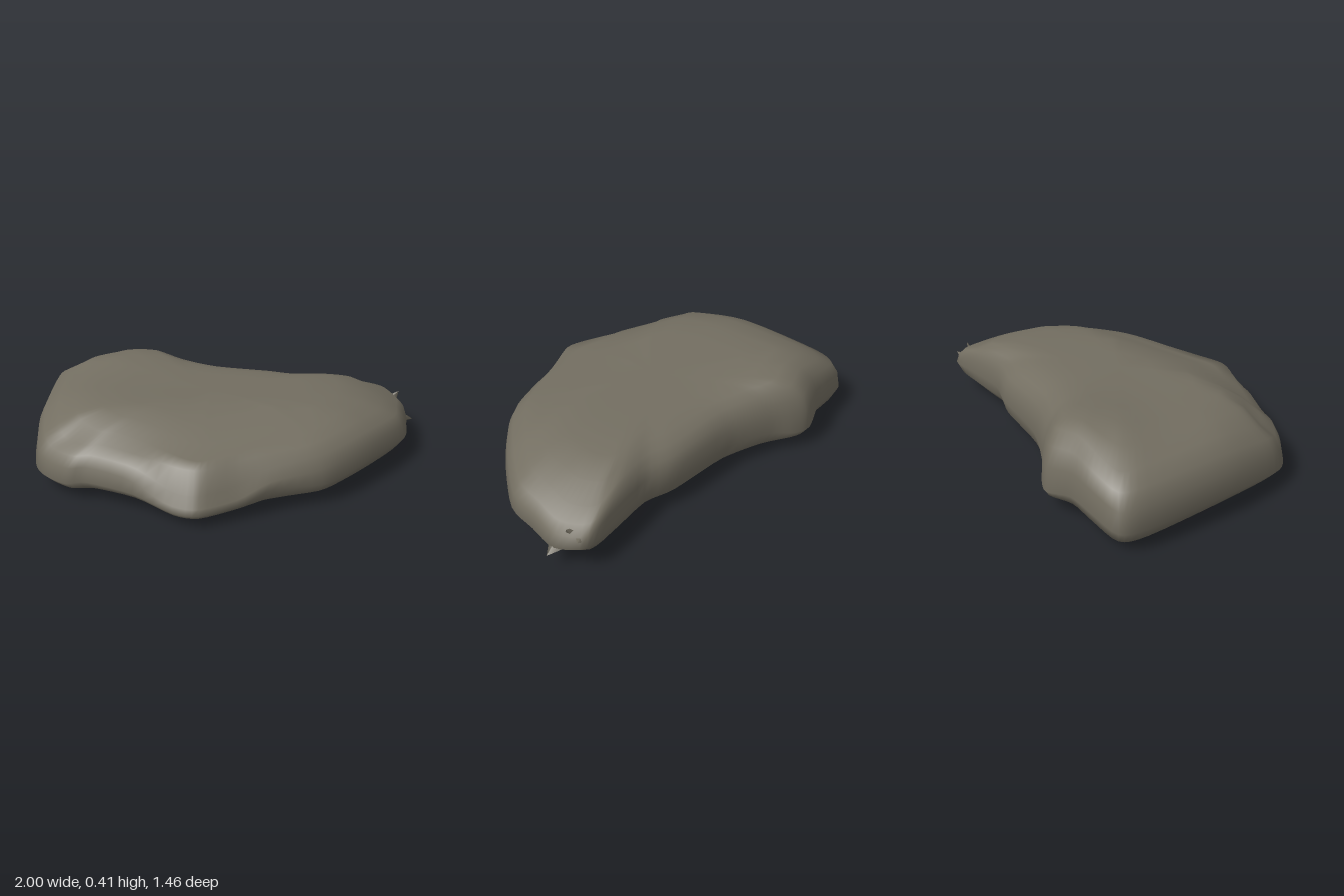
import * as THREE from 'three';
import { mergeVertices } from 'three/addons/utils/BufferGeometryUtils.js';

// Outline of the slab: x, z, height of widest point, top shoulder height, underside height
const OUTLINE = [
  [0.96, -0.22, 0.12, 0.26, 0.08], [0.90, -0.36, 0.15, 0.27, 0.08],
  [0.72, -0.37, 0.16, 0.31, 0.06], [0.48, -0.37, 0.16, 0.32, 0.05],
  [0.31, -0.43, 0.16, 0.32, 0.04], [-0.05, -0.50, 0.16, 0.34, 0.04],
  [-0.28, -0.61, 0.15, 0.35, 0.05], [-0.39, -0.69, 0.12, 0.36, 0.06],
  [-0.48, -0.73, 0.12, 0.38, 0.06], [-0.62, -0.70, 0.15, 0.39, 0.06],
  [-0.76, -0.70, 0.14, 0.36, 0.04], [-0.92, -0.68, 0.11, 0.32, 0.01],
  [-0.97, -0.55, 0.11, 0.33, 0.01], [-1.00, -0.10, 0.12, 0.34, 0.04],
  [-0.98, 0.20, 0.10, 0.30, 0.04], [-0.93, 0.31, 0.09, 0.26, 0.04],
  [-0.82, 0.41, 0.09, 0.26, 0.04], [-0.72, 0.44, 0.11, 0.27, 0.05],
  [-0.50, 0.57, 0.11, 0.26, 0.06], [-0.32, 0.69, 0.07, 0.25, 0.03],
  [-0.20, 0.73, 0.07, 0.25, 0.03], [-0.02, 0.67, 0.08, 0.26, 0.04],
  [0.15, 0.61, 0.13, 0.27, 0.04], [0.39, 0.54, 0.11, 0.28, 0.04],
  [0.52, 0.46, 0.12, 0.29, 0.05], [0.70, 0.30, 0.14, 0.30, 0.05],
  [0.88, 0.10, 0.13, 0.29, 0.06], [0.93, -0.07, 0.13, 0.28, 0.07],
];
const CENTRE = [-0.1, 0];
const SEGMENTS = 112;
const mix = THREE.MathUtils.lerp;
const bump = (x, z, cx, cz, sx, sz) => Math.exp(-(((x - cx) / sx) ** 2) - ((z - cz) / sz) ** 2);

// Top: nearly level, sinking towards the front, with one broad hump near the back
const topHeight = (x, z) =>
  0.376 - 0.02 * x + 0.045 * bump(x, z, -0.56, -0.53, 0.32, 0.22)
  - 0.32 * Math.max(0, z - 0.2);

// Underside: level, arched below the wide half, with a low foot at the back corner
const baseHeight = (x, z) =>
  0.016 + 0.045 * bump(x, z, -0.52, 0, 0.32, 1.2) - 0.03 * bump(x, z, -0.85, -0.57, 0.18, 0.2);

// How much the wall bulges: full round elsewhere, a straight slope on the front point
const bulge = (z) => 1 - THREE.MathUtils.smoothstep(z, 0.5, 0.66);

// Rings from underside centre, round the edge, to top centre: scale and height rule
const RINGS = [
  [0, (e, x, z) => baseHeight(x, z)],
  [0.25, (e, x, z) => baseHeight(x, z)],
  [0.5, (e, x, z) => baseHeight(x, z)],
  [0.72, (e, x, z) => mix(baseHeight(x, z), e.low, 0.5)],
  [0.88, (e) => e.low],
  [0.965, (e) => mix(e.low, e.rim, 0.4)],
  [1, (e) => e.rim],
  [0.98, (e, x, z) => mix(e.rim, e.shoulder, mix(0.15, 0.45, bulge(z)))],
  [0.94, (e, x, z) => mix(e.rim, e.shoulder, mix(0.45, 0.78, bulge(z)))],
  [0.86, (e) => e.shoulder],
  [0.76, (e, x, z) => mix(e.shoulder, topHeight(x, z), 0.6)],
  [0.62, (e, x, z) => mix(e.shoulder, topHeight(x, z), 0.92)],
  [0.45, (e, x, z) => topHeight(x, z)],
  [0.22, (e, x, z) => topHeight(x, z)],
  [0, (e, x, z) => topHeight(x, z)],
];

function slabGeometry() {
  const closed = (points) => new THREE.CatmullRomCurve3(points, true, 'catmullrom', 0.4);
  const edge = closed(OUTLINE.map(([x, z, rim]) => new THREE.Vector3(x, rim, z)));
  const heights = closed(OUTLINE.map(([, , , top, low]) => new THREE.Vector3(top, low, 0)));
  const positions = [];
  const index = [];
  RINGS.forEach(([scale, height], r) => {
    for (let i = 0; i < SEGMENTS; i++) {
      const p = edge.getPoint(i / SEGMENTS);
      const h = heights.getPoint(i / SEGMENTS);
      const x = mix(CENTRE[0], p.x, scale);
      const z = mix(CENTRE[1], p.z, scale);
      positions.push(x, height({ rim: p.y, shoulder: h.x, low: h.y }, x, z), z);
      if (r === RINGS.length - 1) continue;
      const a = r * SEGMENTS + i;
      const b = r * SEGMENTS + (i + 1) % SEGMENTS;
      if (r > 0) index.push(a, b, b + SEGMENTS);
      if (r < RINGS.length - 2) index.push(a, b + SEGMENTS, a + SEGMENTS);
      else index.push(a, b, a + SEGMENTS);
    }
  });
  const geometry = new THREE.BufferGeometry();
  geometry.setAttribute('position', new THREE.Float32BufferAttribute(positions, 3));
  geometry.setIndex(index);
  const merged = mergeVertices(geometry, 1e-5);
  merged.computeVertexNormals();
  return merged;
}

export function createModel() {
  const group = new THREE.Group();
  group.name = 'rockSlab';
  const stone = new THREE.MeshStandardMaterial({ color: 0x736e61 });
  stone.name = 'greyBrownStone';

  const slab = new THREE.Mesh(slabGeometry(), stone);
  slab.name = 'slab';
  group.add(slab);

  // Crumpled splinters at the narrow end: position, size, tilt
  const splinters = [
    [[0.95, 0.105, -0.21], [0.045, 0.05, 0.06], [0, 0, -1.75]],
    [[0.90, 0.20, -0.27], [0.03, 0.045, 0.05], [0.4, 0.5, -0.8]],
    [[0.90, 0.18, -0.32], [0.035, 0.04, 0.04], [-0.5, 0.2, -1.1]],
  ];
  splinters.forEach(([position, size, tilt], i) => {
    const splinter = new THREE.Mesh(new THREE.ConeGeometry(1, 2, 4), stone);
    splinter.name = `splinter${i + 1}`;
    splinter.position.set(...position);
    splinter.scale.set(...size);
    splinter.rotation.set(...tilt);
    group.add(splinter);
  });
  return group;
}
